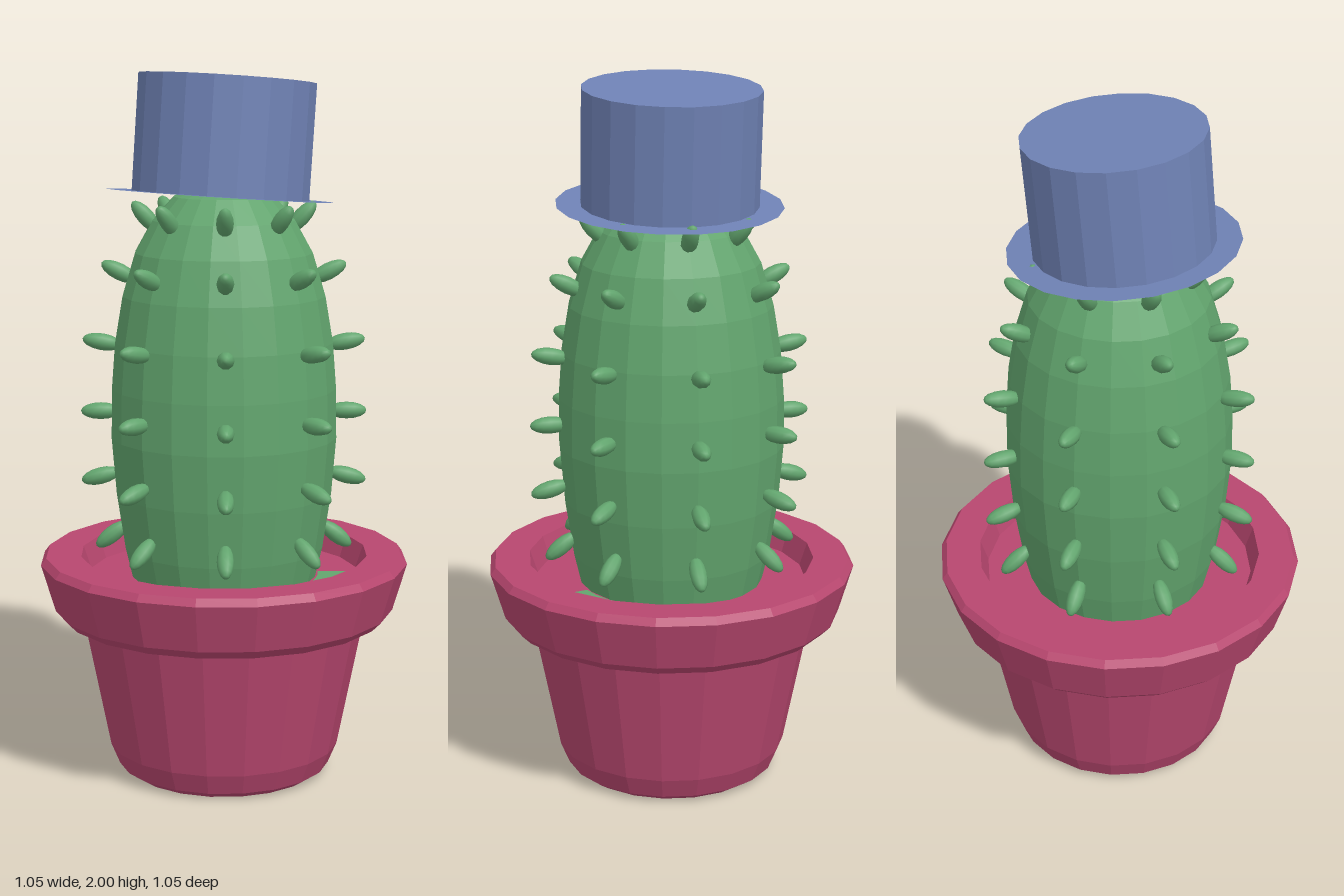
import * as THREE from 'three';

const SIDES = 20;
const mat = (color, flatShading = true) =>
  new THREE.MeshStandardMaterial({ color, flatShading, side: THREE.DoubleSide });

function add(parent, name, geometry, material) {
  const mesh = new THREE.Mesh(geometry, material);
  mesh.name = name;
  parent.add(mesh);
  return mesh;
}

const lathe = (points) =>
  new THREE.LatheGeometry(points.map(([r, y]) => new THREE.Vector2(r, y)), SIDES);

export function createModel() {
  const model = new THREE.Group();
  model.name = 'pottedCactus';
  const clay = mat(0xb8476f);
  const green = mat(0x62a56e);
  const greenSmooth = mat(0x62a56e, false);
  const blue = mat(0x6f82b5);

  // Pot: rounded foot, tapered wall, heavy rim, recessed soil level
  add(model, 'pot', lathe([
    [0, 0], [0.275, 0], [0.305, 0.02], [0.33, 0.08], [0.405, 0.46],
    [0.46, 0.46], [0.485, 0.485], [0.525, 0.62], [0.51, 0.64],
    [0.41, 0.64], [0.388, 0.575], [0, 0.575],
  ]), clay);

  // Green patch on the soil
  const patch = add(model, 'soilPatch',
    new THREE.RingGeometry(0.27, 0.386, 2, 1, 0.26, 0.53), green);
  patch.rotation.x = -Math.PI / 2;
  patch.position.y = 0.578;

  // Cactus body
  add(model, 'cactusBody', lathe([
    [0.262, 0.57], [0.283, 0.66], [0.307, 0.82], [0.32, 0.98], [0.318, 1.12],
    [0.308, 1.25], [0.286, 1.38], [0.25, 1.5], [0.2, 1.59], [0.14, 1.655],
    [0.07, 1.685], [0, 1.69],
  ]), green);

  // Spines: eight columns, each row as [radius, height, upward tilt in degrees]
  const spines = new THREE.Group();
  spines.name = 'spines';
  model.add(spines);
  const rows = [
    [0.32, 0.69, -38], [0.35, 0.862, -14], [0.348, 1.05, 0],
    [0.342, 1.247, 10], [0.292, 1.445, 27], [0.217, 1.598, 48],
  ];
  const spineGeo = new THREE.SphereGeometry(1, 10, 8);
  spineGeo.scale(0.024, 0.056, 0.024);
  spineGeo.rotateX(Math.PI / 2);
  for (let i = 0; i < 8; i++) {
    const column = new THREE.Group();
    column.name = 'spineColumn';
    column.rotation.y = (i * Math.PI) / 4;
    spines.add(column);
    for (const [r, y, tilt] of rows) {
      const spine = add(column, 'spine', spineGeo, greenSmooth);
      spine.position.set(0, y, r);
      spine.rotation.x = -THREE.MathUtils.degToRad(tilt);
    }
  }

  // Hat: leaning slightly back, with a paper-thin brim
  const hat = new THREE.Group();
  hat.name = 'hat';
  hat.position.set(0, 1.657, 0.014);
  hat.rotation.x = -0.09;
  model.add(hat);
  const crown = add(hat, 'hatCrown',
    new THREE.CylinderGeometry(0.248, 0.248, 0.322, SIDES, 1, true), blue);
  crown.position.y = 0.161;
  const top = add(hat, 'hatTop', new THREE.CircleGeometry(0.248, SIDES), blue);
  top.rotation.x = -Math.PI / 2;
  top.position.y = 0.322;
  const brim = add(hat, 'hatBrim', new THREE.CircleGeometry(0.317, SIDES), blue);
  brim.rotation.x = -Math.PI / 2;

  return model;
}
